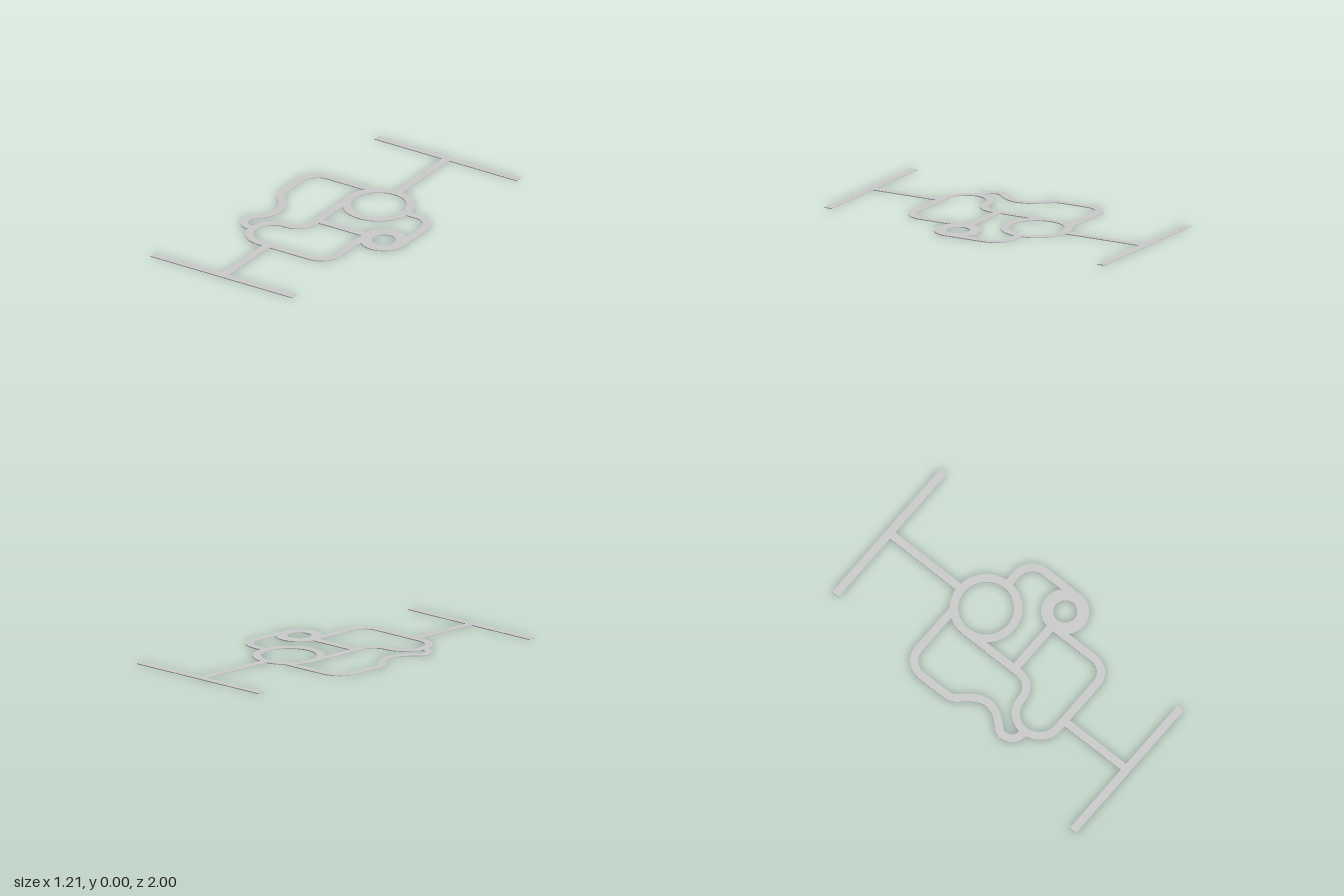
import * as THREE from 'three';

const THICK = 0.005;   // sheet thickness
const W = 0.047;       // strip width
const material = new THREE.MeshStandardMaterial({ color: 0xcccccc });

// Lay a flat shape, drawn as (x, -z), on the ground as a thin plate.
function plate(name, shape) {
  const geometry = new THREE.ExtrudeGeometry(shape, { depth: THICK, bevelEnabled: false, curveSegments: 64 });
  geometry.rotateX(-Math.PI / 2);
  const mesh = new THREE.Mesh(geometry, material);
  mesh.name = name;
  return mesh;
}

function bar(name, x0, x1, z0, z1) {
  const geometry = new THREE.BoxGeometry(x1 - x0, THICK, z1 - z0);
  geometry.translate((x0 + x1) / 2, THICK / 2, (z0 + z1) / 2);
  const mesh = new THREE.Mesh(geometry, material);
  mesh.name = name;
  return mesh;
}

function ring(name, x, z, outer, inner) {
  const shape = new THREE.Shape().absarc(x, -z, outer, 0, Math.PI * 2, false);
  shape.holes.push(new THREE.Path().absarc(x, -z, inner, 0, Math.PI * 2, true));
  return plate(name, shape);
}

// Strip of constant width along a centre line.
function strip(name, points) {
  const line = points.filter((p, i) => i === 0 || p.distanceTo(points[i - 1]) > 1e-4);
  const left = [], right = [];
  line.forEach((p, i) => {
    const a = line[Math.max(i - 1, 0)], b = line[Math.min(i + 1, line.length - 1)];
    const t = b.clone().sub(a).normalize();
    const n = new THREE.Vector2(-t.y, t.x).multiplyScalar(W / 2);
    left.push(p.clone().add(n));
    right.push(p.clone().sub(n));
  });
  return plate(name, new THREE.Shape([...right, ...left.reverse()]));
}

export function createModel() {
  const group = new THREE.Group();
  const PI = Math.PI;

  // End bars and their stems
  group.add(
    bar('backBar', -0.365, 0.605, -1, -0.953),
    bar('backStem', 0.095, 0.143, -0.96, -0.45),
    bar('frontBar', -0.605, 0.36, 0.953, 1),
    bar('frontStem', -0.148, -0.101, 0.52, 0.96),
    bar('crossStrip', -0.063, 0.3, 0.072, 0.12)
  );

  // Rings
  group.add(
    ring('largeRing', 0.119, -0.262, 0.207, 0.159),
    ring('smallRing', 0.39, 0.098, 0.137, 0.068)
  );

  // Front loop: down from the large ring, around, and up to the small ring
  const front = new THREE.Path();
  front.moveTo(-0.063, 0.262);
  front.lineTo(-0.063, -0.132);
  front.absarc(-0.175, -0.132, 0.112, 0, -PI / 2, true);
  front.absarc(-0.18, -0.379, 0.135, PI / 2, PI * 1.5, false);
  front.lineTo(0.168, -0.514);
  front.absarc(0.168, -0.407, 0.107, -PI / 2, 0, false);
  front.lineTo(0.275, -0.11);
  group.add(strip('frontLoop', front.getPoints(24)));

  // Link strip between the two rings
  const link = new THREE.Path();
  link.moveTo(0.3, 0.26);
  link.lineTo(0.385, 0.26);
  link.absarc(0.385, 0.143, 0.117, PI / 2, 0, true);
  link.lineTo(0.502, -0.1);
  group.add(strip('ringLink', link.getPoints(24)));

  // Wavy side strip: rounded corner, then a free curve to the front loop
  const side = new THREE.Path();
  side.moveTo(0, 0.402);
  side.lineTo(-0.312, 0.402);
  side.absarc(-0.312, 0.284, 0.118, PI / 2, PI, false);
  side.lineTo(-0.43, 0.115);
  side.splineThru([
    [-0.418, 0.06], [-0.37, 0.003], [-0.33, -0.055], [-0.317, -0.113],
    [-0.332, -0.178], [-0.372, -0.235], [-0.406, -0.275], [-0.413, -0.31],
    [-0.395, -0.355], [-0.36, -0.377], [-0.32, -0.382]
  ].map(([x, y]) => new THREE.Vector2(x, y)));
  group.add(strip('waveStrip', side.getPoints(16)));

  return group;
}
